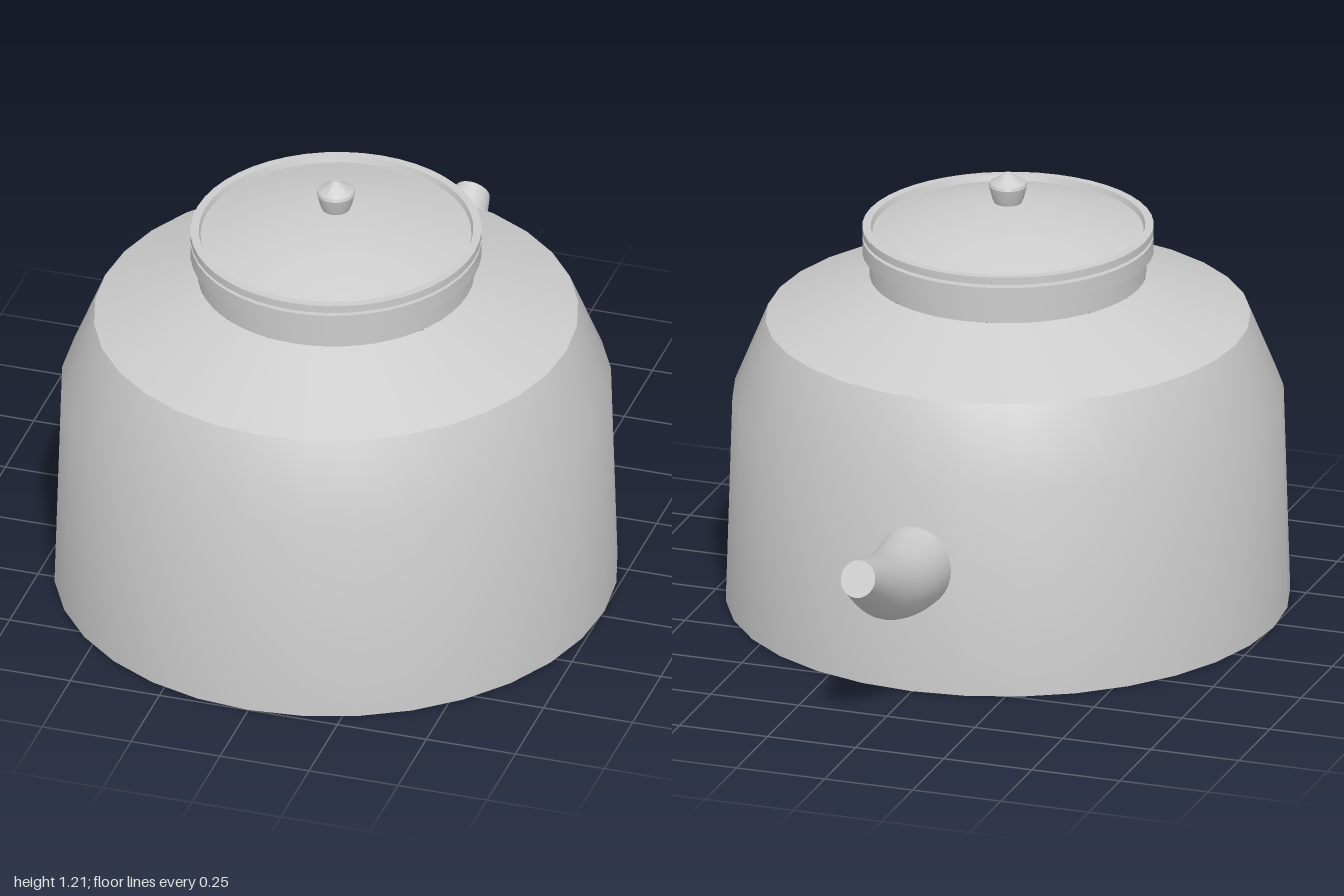
import * as THREE from 'three';
import { toCreasedNormals } from 'three/addons/utils/BufferGeometryUtils.js';

const material = new THREE.MeshStandardMaterial({ color: 0xcccccc });
const CENTRE_Z = 0.225;

// Revolved part from [radius, height] pairs, listed bottom to top
function turned(name, profile, sides) {
  const points = profile.map(([r, y]) => new THREE.Vector2(r, y));
  const geometry = toCreasedNormals(new THREE.LatheGeometry(points, sides), Math.PI / 6);
  const mesh = new THREE.Mesh(geometry, material);
  mesh.name = name;
  return mesh;
}

// Tapered, upward-curving spout with a flat end
function makeSpout() {
  const curve = new THREE.CatmullRomCurve3([
    new THREE.Vector3(0, 0.35, -0.5),
    new THREE.Vector3(0, 0.353, -0.63),
    new THREE.Vector3(0, 0.378, -0.76),
    new THREE.Vector3(0, 0.476, -0.981),
  ]);
  const steps = 20, sides = 32;
  const geometry = new THREE.TubeGeometry(curve, steps, 1, sides);
  const pos = geometry.attributes.position;
  const p = new THREE.Vector3();
  for (let i = 0; i <= steps; i++) {
    const t = i / steps;
    const centre = curve.getPointAt(t);
    const radius = THREE.MathUtils.lerp(0.117, 0.051, Math.pow(t, 1.4));
    const narrow = THREE.MathUtils.lerp(0.9, 0.95, t);
    for (let j = 0; j <= sides; j++) {
      const k = i * (sides + 1) + j;
      p.fromBufferAttribute(pos, k).sub(centre).multiplyScalar(radius);
      p.x *= narrow;
      p.add(centre);
      pos.setXYZ(k, p.x, p.y, p.z);
    }
  }
  const spout = new THREE.Group();
  spout.name = 'spout';
  const tube = new THREE.Mesh(geometry, material);
  tube.name = 'spoutTube';
  const end = new THREE.Mesh(new THREE.CircleGeometry(0.051, sides), material);
  end.name = 'spoutEnd';
  end.scale.x = 0.95;
  end.position.copy(curve.getPointAt(1));
  end.lookAt(end.position.clone().add(curve.getTangentAt(1)));
  spout.add(tube, end);
  return spout;
}

export function createModel() {
  const model = new THREE.Group();
  model.name = 'teapot';

  // The turned parts are slightly narrower across than deep
  const pot = new THREE.Group();
  pot.name = 'pot';
  pot.position.z = CENTRE_Z;
  pot.scale.x = 0.973;

  pot.add(turned('body', [
    [0, 0], [0.775, 0], [0.757, 0.58], [0.666, 0.797], [0.38, 0.92],
  ], 32));

  // Neck with its overhanging rim
  pot.add(turned('neck', [
    [0.38, 0.92], [0.38, 0.985], [0.4, 0.985], [0.4, 1.028], [0, 1.028],
  ], 48));

  // Lid floats just above the rim, with a raised edge around a shallow cone
  pot.add(turned('lid', [
    [0, 1.037], [0.4, 1.037], [0.4, 1.058], [0.377, 1.058], [0.372, 1.043],
    [0.36, 1.046], [0.335, 1.055], [0.235, 1.085], [0, 1.132],
  ], 48));

  pot.add(turned('knob', [
    [0.037, 1.122], [0.043, 1.135], [0.053, 1.172], [0.05, 1.18],
    [0.022, 1.197], [0.01, 1.207], [0, 1.21],
  ], 24));

  model.add(pot, makeSpout());
  return model;
}
